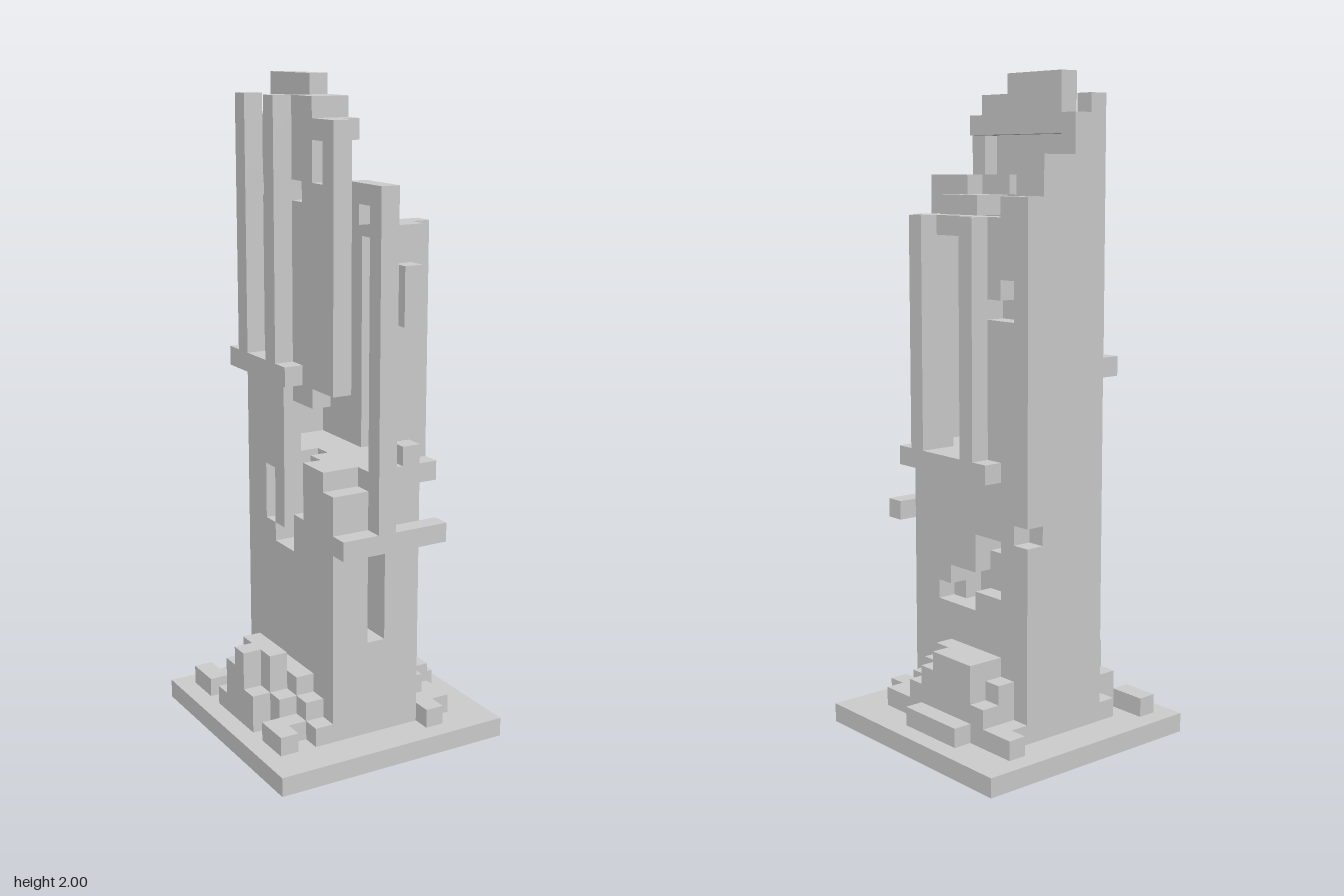
import * as THREE from 'three';

const U = 2 / 34; // cell size: 13 x 34 x 13 grid
const material = new THREE.MeshStandardMaterial({ color: 0xcccccc, flatShading: true });

// Set of filled cells; ranges are inclusive [from, to] cell numbers
class Cells {
  constructor() { this.set = new Set(); }
  each(x, y, z, fn) {
    for (let i = x[0]; i <= x[1]; i++)
      for (let j = y[0]; j <= y[1]; j++)
        for (let k = z[0]; k <= z[1]; k++) fn(`${i},${j},${k}`);
    return this;
  }
  fill(x, y, z) { return this.each(x, y, z, (c) => this.set.add(c)); }
  carve(x, y, z) { return this.each(x, y, z, (c) => this.set.delete(c)); }

  // Skin only the exposed faces of the cells
  mesh(name) {
    const pos = [], nor = [];
    for (const key of this.set) {
      const c = key.split(',').map(Number);
      for (let a = 0; a < 3; a++) for (const s of [-1, 1]) {
        const n = c.slice();
        n[a] += s;
        if (this.set.has(n.join())) continue;
        const b = (a + 1) % 3, d = (a + 2) % 3;
        const ring = [[0, 0], [1, 0], [1, 1], [0, 1]];
        if (s < 0) ring.reverse();
        for (const q of [0, 1, 2, 0, 2, 3]) {
          const p = c.slice();
          if (s > 0) p[a] += 1;
          p[b] += ring[q][0];
          p[d] += ring[q][1];
          pos.push((p[0] - 6.5) * U, p[1] * U, (p[2] - 6.5) * U);
          const v = [0, 0, 0];
          v[a] = s;
          nor.push(...v);
        }
      }
    }
    const g = new THREE.BufferGeometry();
    g.setAttribute('position', new THREE.Float32BufferAttribute(pos, 3));
    g.setAttribute('normal', new THREE.Float32BufferAttribute(nor, 3));
    const m = new THREE.Mesh(g, material);
    m.name = name;
    return m;
  }
}

// Heap of debris: rows of [x, first z, heights along z]
function heap(name, rows) {
  const cells = new Cells();
  for (const [x, z0, heights] of rows)
    heights.forEach((h, k) => { if (h) cells.fill([x, x], [1, h], [z0 + k, z0 + k]); });
  return cells.mesh(name);
}

export function createModel() {
  const group = new THREE.Group();

  // Square base slab
  const base = new THREE.Mesh(new THREE.BoxGeometry(13 * U, U, 13 * U), material);
  base.position.y = U / 2;
  base.name = 'baseSlab';
  group.add(base);

  const tower = new Cells();
  // Solid lower block with broken recesses
  tower.fill([4, 8], [1, 14], [2, 10])
    .carve([4, 5], [14, 14], [10, 10])
    .carve([8, 8], [11, 11], [2, 2])
    .carve([6, 6], [6, 10], [9, 10])
    .carve([8, 8], [7, 7], [8, 8])
    .carve([7, 8], [7, 8], [6, 7])
    .carve([7, 8], [8, 10], [4, 5])
    .fill([7, 7], [8, 9], [5, 5])
    .carve([4, 4], [11, 13], [4, 4])
    .carve([4, 5], [10, 10], [5, 5])
    .carve([4, 5], [10, 14], [6, 6])
    .carve([4, 4], [12, 14], [7, 7]);

  // Back wall, stepped at the top
  [[4, 31], [5, 31], [6, 29], [7, 29], [8, 27]].forEach(([x, top]) =>
    tower.fill([x, x], [15, top], [2, 2]));

  // Right-hand wall of the frame (-x), hanging over a breach
  tower.fill([4, 4], [15, 31], [2, 5])
    .fill([4, 4], [19, 31], [6, 10])
    .fill([4, 4], [18, 18], [7, 8])
    .carve([4, 4], [29, 30], [9, 9])
    .carve([4, 4], [28, 28], [7, 7])
    .carve([4, 4], [28, 28], [4, 5])
    .carve([4, 4], [27, 27], [5, 5]);

  // Crest along the top of that wall
  tower.fill([5, 5], [31, 31], [3, 9])
    .fill([5, 5], [32, 32], [3, 8])
    .fill([5, 5], [33, 33], [3, 6])
    .fill([4, 4], [32, 32], [7, 8]);

  // Opposite wall (+x) with a tall opening and a small breach
  tower.fill([8, 8], [15, 26], [2, 6])
    .fill([8, 8], [15, 26], [9, 9])
    .fill([8, 8], [26, 26], [7, 10])
    .fill([8, 8], [27, 27], [3, 3])
    .carve([8, 8], [22, 22], [3, 4])
    .carve([8, 8], [23, 23], [3, 3])
    .fill([8, 8], [15, 15], [10, 10])
    .fill([8, 8], [22, 24], [10, 10]);

  // Floor fragments at the top
  tower.fill([6, 7], [27, 27], [7, 9])
    .fill([6, 6], [28, 28], [9, 10])
    .fill([7, 8], [26, 26], [10, 10])
    .fill([6, 7], [28, 29], [3, 3]);
  group.add(tower.mesh('ruinedTower'));

  // Ledges carrying upright fins on the three faces
  group.add(
    new Cells().fill([9, 9], [14, 14], [4, 10])
      .fill([9, 9], [15, 26], [5, 5])
      .fill([9, 9], [15, 26], [9, 9]).mesh('leftLedgeAndFins'),
    new Cells().fill([3, 3], [19, 19], [2, 7])
      .fill([3, 3], [20, 32], [3, 3])
      .fill([3, 3], [20, 32], [6, 6]).mesh('rightLedgeAndFins'),
    new Cells().fill([4, 9], [11, 11], [11, 11])
      .fill([6, 6], [12, 28], [11, 11]).mesh('frontLedgeAndPole'),
  );

  // Debris piled against both long sides
  group.add(
    heap('leftRubble', [
      [9, 2, [1, 3, 4, 4, 4, 4, 3, 2, 1, 1]],
      [10, 1, [1, 1, 2, 4, 4, 4, 3, 2, 1, 1]],
      [11, 4, [1, 1, 1, 1]],
    ]),
    heap('rightRubble', [
      [3, 2, [1, 2, 3, 3, 3, 3, 3, 2, 1]],
      [2, 3, [2, 3, 4, 4, 4, 2, 1]],
      [1, 1, [1, 1, 0, 1, 3, 4, 2, 0, 1, 1]],
    ]),
  );
  return group;
}
